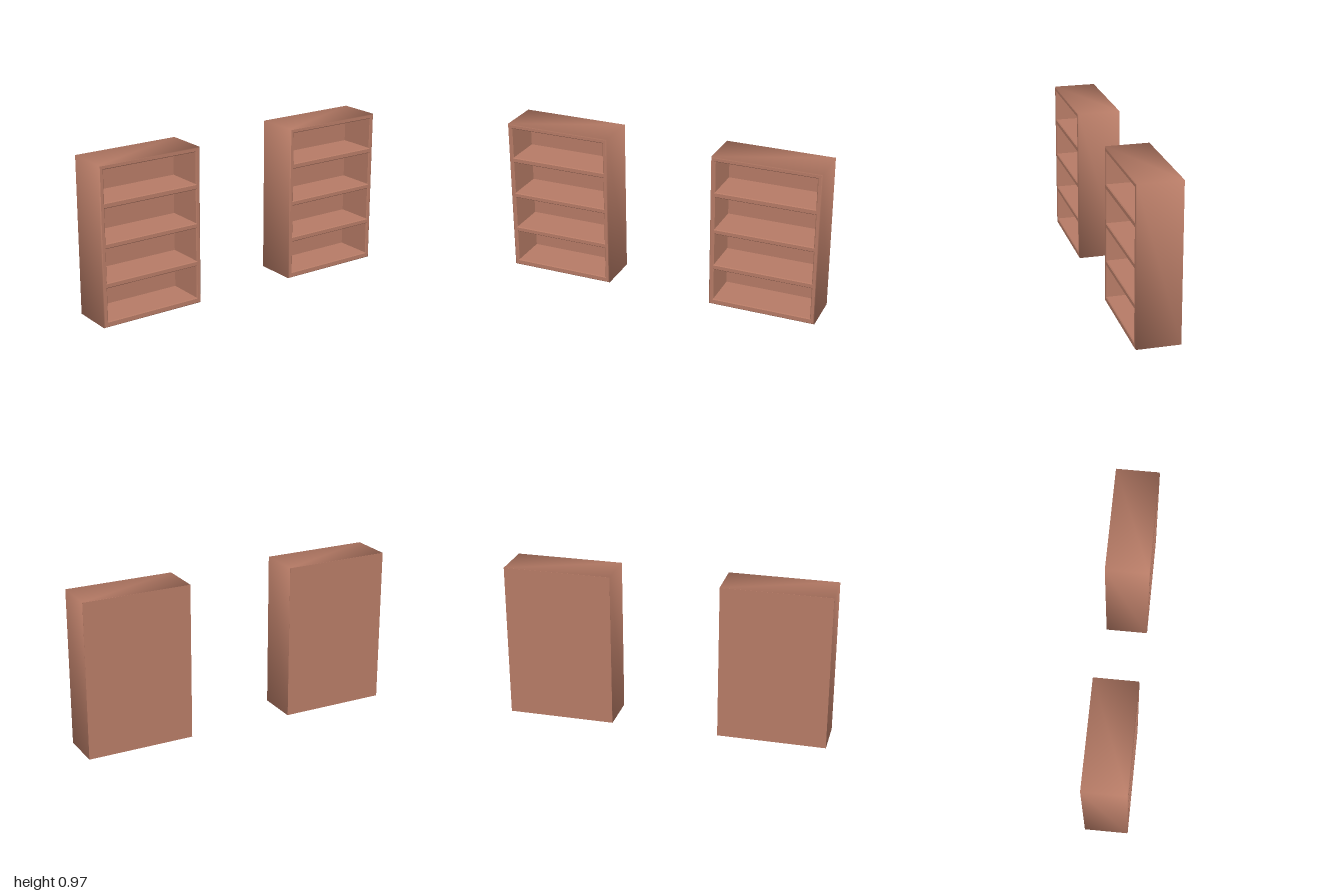
import * as THREE from 'three';

const HALF_DEPTH = 0.133, HEIGHT = 0.967, HALF_WIDTH = 0.3335;
const WALL = 0.028, BEVEL = 0.005, BACK_INNER = -0.105, GAP = 0.0006;
// Bottom and top of each open compartment
const COMPARTMENTS = [[0.035, 0.238], [0.27, 0.475], [0.506, 0.713], [0.746, 0.939]];

function rectangle(path, halfWidth, bottom, top) {
  path.moveTo(-halfWidth, bottom);
  path.lineTo(halfWidth, bottom);
  path.lineTo(halfWidth, top);
  path.lineTo(-halfWidth, top);
  path.closePath();
  return path;
}

// Outer sides as smooth rectangular loops from back to bevelled front
function sleeveGeometry() {
  const inset = BEVEL + GAP;
  const loops = [[-HALF_DEPTH, 0], [HALF_DEPTH - BEVEL, 0], [HALF_DEPTH, inset]];
  const positions = [], index = [];
  for (const [x, d] of loops) {
    const w = HALF_WIDTH - d;
    positions.push(x, d, w, x, d, -w, x, HEIGHT - d, -w, x, HEIGHT - d, w);
  }
  for (let r = 0; r < loops.length - 1; r++) {
    for (let i = 0; i < 4; i++) {
      const a = r * 4 + i, b = r * 4 + (i + 1) % 4;
      index.push(a, b, b + 4, a, b + 4, a + 4);
    }
  }
  const geometry = new THREE.BufferGeometry();
  geometry.setAttribute('position', new THREE.Float32BufferAttribute(positions, 3));
  geometry.setIndex(index);
  geometry.computeVertexNormals();
  return geometry;
}

// Front frame, shelves and compartment walls in one bevelled extrusion facing +x
function shelvesGeometry() {
  const shape = rectangle(new THREE.Shape(), HALF_WIDTH - GAP, GAP, HEIGHT - GAP);
  for (const [bottom, top] of COMPARTMENTS) {
    shape.holes.push(rectangle(new THREE.Path(), HALF_WIDTH - WALL, bottom, top));
  }
  const start = BACK_INNER - 0.01;
  const geometry = new THREE.ExtrudeGeometry(shape, {
    depth: HALF_DEPTH - BEVEL - start,
    bevelEnabled: true, bevelSegments: 1,
    bevelThickness: BEVEL, bevelSize: BEVEL, bevelOffset: -BEVEL,
  });
  return geometry.translate(0, 0, start).rotateY(Math.PI / 2);
}

export function createModel() {
  const wood = new THREE.MeshStandardMaterial({ color: 0xb57a65 });
  wood.name = 'reddish wood';

  const backThickness = BACK_INNER + HALF_DEPTH;
  const parts = {
    outerSides: sleeveGeometry(),
    frameAndShelves: shelvesGeometry(),
    backPanel: new THREE.BoxGeometry(backThickness, HEIGHT - 2 * GAP, 2 * (HALF_WIDTH - GAP))
      .translate(-HALF_DEPTH + backThickness / 2, HEIGHT / 2, 0),
  };

  // Two identical bookcases side by side
  const model = new THREE.Group();
  model.name = 'bookcases';
  for (const side of [1, -1]) {
    const bookcase = new THREE.Group();
    bookcase.name = side > 0 ? 'frontBookcase' : 'backBookcase';
    for (const [name, geometry] of Object.entries(parts)) {
      const mesh = new THREE.Mesh(geometry, wood);
      mesh.name = name;
      bookcase.add(mesh);
    }
    bookcase.position.z = side * (1 - HALF_WIDTH);
    model.add(bookcase);
  }
  return model;
}
